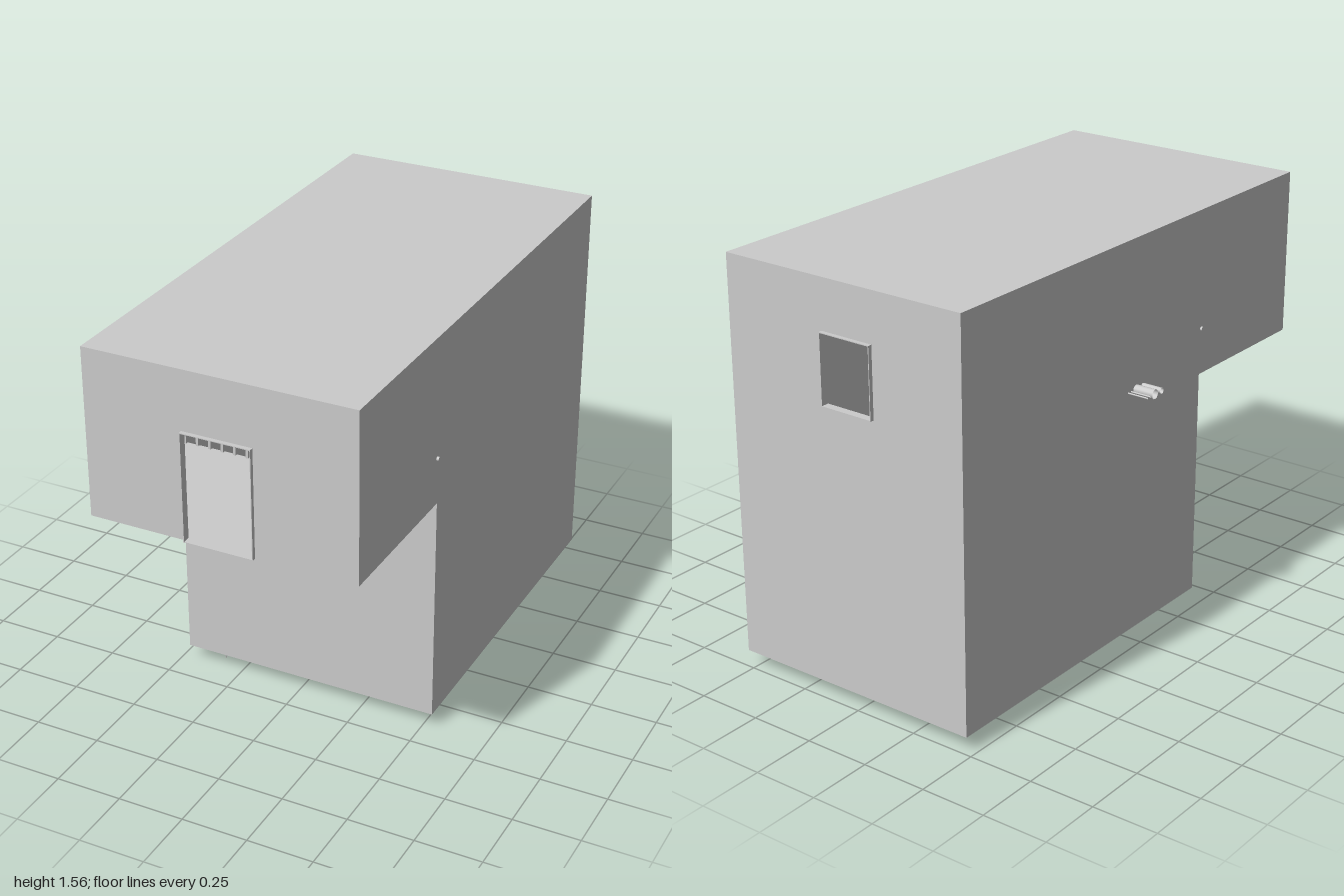
import * as THREE from 'three';

const X0 = -0.47, X1 = 0.535, Y0 = 0.055, YF = 0.93, Y1 = 1.56;
const ZB = -0.985, ZP = 0.39, ZF = 0.985;

export function createModel() {
  const root = new THREE.Group();
  const solid = new THREE.MeshStandardMaterial({ color: 0xcccccc });
  const sheet = new THREE.MeshStandardMaterial({ color: 0xcccccc, side: THREE.DoubleSide });

  const add = (name, geo, x = 0, y = 0, z = 0, parent = root, mat = solid) => {
    const m = new THREE.Mesh(geo, mat);
    m.name = name;
    m.position.set(x, y, z);
    parent.add(m);
    return m;
  };
  const outline = pts => pts.map(p => new THREE.Vector2(...p));
  const rect = (x0, y0, x1, y1) => outline([[x0, y0], [x1, y0], [x1, y1], [x0, y1]]);
  // straight round bar between two points
  const bar = (name, a, b, r, parent = root, sides = 12) => {
    const A = new THREE.Vector3(...a), B = new THREE.Vector3(...b), d = B.clone().sub(A);
    const m = add(name, new THREE.CylinderGeometry(r, r, d.length(), sides), 0, 0, 0, parent);
    m.position.copy(A).add(B).multiplyScalar(0.5);
    m.quaternion.setFromUnitVectors(new THREE.Vector3(0, 1, 0), d.normalize());
    return m;
  };

  // Room shell: thin sheets, an L in profile
  const room = new THREE.Group();
  room.name = 'room';
  root.add(room);
  const wall = (name, pts, z, hole) => {
    const s = new THREE.Shape(pts);
    if (hole) s.holes.push(new THREE.Path(hole));
    return add(name, new THREE.ShapeGeometry(s), 0, 0, z, room, sheet);
  };
  const door = [-0.1, YF, 0.155, 1.335], win = [-0.097, 1.11, 0.112, 1.37];
  wall('upperFrontWall', outline([[X0, YF], [door[0], YF], [door[0], door[3]], [door[2], door[3]],
    [door[2], YF], [X1, YF], [X1, Y1], [X0, Y1]]), ZF);
  wall('lowerFrontWall', rect(X0, Y0, X1, YF), ZP);
  wall('backWall', rect(X0, Y0, X1, Y1), ZB, rect(...win));
  const profile = outline([[ZB, Y0], [ZP, Y0], [ZP, YF], [ZF, YF], [ZF, Y1], [ZB, Y1]]);
  for (const [name, x] of [['rightWall', X0], ['leftWall', X1]]) {
    const m = wall(name, profile, 0);
    m.position.x = x;
    m.rotation.y = -Math.PI / 2;
  }
  const slab = (name, y, z0, z1) => {
    const g = new THREE.PlaneGeometry(X1 - X0, z1 - z0).rotateX(-Math.PI / 2);
    add(name, g, (X0 + X1) / 2, y, (z0 + z1) / 2, room, sheet);
  };
  slab('roof', Y1, ZB, ZF);
  slab('pitFloor', Y0, ZB, ZP);
  slab('platformFloor', YF, ZP, ZF);

  // Thin sleeves standing proud around the doorway and the window
  const sleeve = (name, [x0, y0, x1, y1], z) => {
    const t = 0.003;
    const s = new THREE.Shape(rect(x0 - t, y0, x1 + t, y1 + t));
    s.holes.push(new THREE.Path(rect(x0, y0 + t, x1, y1)));
    add(name, new THREE.ExtrudeGeometry(s, { depth: 0.03, bevelEnabled: false }), 0, 0, z - 0.015);
  };
  sleeve('doorFrame', door, ZF);
  sleeve('windowFrame', win, ZB);

  // Railing along the platform edge
  const railing = new THREE.Group();
  railing.name = 'railing';
  root.add(railing);
  bar('handrail', [X0 - 0.008, 1.106, 0.396], [X1 + 0.009, 1.106, 0.396], 0.008, railing);
  for (let i = 0; i < 20; i++) {
    add('railPost', new THREE.BoxGeometry(0.01, 0.196, 0.009), -0.45 + i * 0.0506, 1.008, 0.396, railing);
  }

  // Standing vessel in the pit
  const vessel = new THREE.Group();
  vessel.name = 'vessel';
  vessel.position.set(0.015, 0, 0);
  root.add(vessel);
  const turned = (name, pts) => {
    const g = new THREE.LatheGeometry(outline(pts), 32).toNonIndexed();
    g.computeVertexNormals();
    add(name, g, 0, 0, 0, vessel, sheet);
  };
  turned('vesselBody', [[0, Y0], [0.095, Y0], [0.095, 0.93], [0.09, 0.96], [0.055, 1.1], [0.055, 1.28]]);
  turned('baseFlange', [[0.08, 0.93], [0.105, 0.93], [0.105, 0.965], [0.08, 0.965]]);
  turned('collar', [[0.05, 1.19], [0.061, 1.19], [0.061, 1.22], [0.05, 1.22]]);
  turned('lid', [[0, 1.277], [0.06, 1.277], [0.06, 1.298], [0.056, 1.307], [0, 1.307]]);
  for (let i = 0; i < 8; i++) {
    const a = (i + 0.5) * Math.PI / 4;
    add('lidBolt', new THREE.CylinderGeometry(0.005, 0.005, 0.01, 6),
      0.047 * Math.cos(a), 1.31, 0.047 * Math.sin(a), vessel);
    bar('skirtRib', [0.058 * Math.cos(a), 1.1, 0.058 * Math.sin(a)],
      [0.092 * Math.cos(a), 0.965, 0.092 * Math.sin(a)], 0.004, vessel, 6);
  }
  // Side nozzle, bent pipe and slanting brace
  const tube = (name, pts, r, parent) => {
    const path = new THREE.CurvePath();
    const v = pts.map(p => new THREE.Vector3(...p));
    let from = v[0];
    for (let i = 1; i < v.length - 1; i++) {
      const a = v[i].clone().add(v[i - 1].clone().sub(v[i]).setLength(0.03));
      const b = v[i].clone().add(v[i + 1].clone().sub(v[i]).setLength(0.03));
      path.add(new THREE.LineCurve3(from, a));
      path.add(new THREE.QuadraticBezierCurve3(a, v[i], b));
      from = b;
    }
    path.add(new THREE.LineCurve3(from, v[v.length - 1]));
    add(name, new THREE.TubeGeometry(path, 100, r, 12), 0, 0, 0, parent, sheet);
  };
  bar('nozzle', [0.045, 1.25, 0], [0.075, 1.25, 0], 0.015, vessel);
  tube('outletPipe', [[0.06, 1.25, 0], [0.12, 1.25, 0], [0.2, 1.16, 0], [0.2, Y0, 0]], 0.009, vessel);
  bar('brace', [-0.005, 1.25, 0.055], [0.16, 1.03, 0.055], 0.006, vessel);

  // Service pipes rising from under the floor and leaving through the side wall
  for (const [z, r] of [[-0.016, 0.018], [0.026, 0.011], [-0.046, 0.003], [-0.064, 0.003]]) {
    tube('servicePipe', [[-0.278, 0, z], [-0.278, 1, z], [-0.55, 1, z]], r, root);
  }

  // Small fittings under the floor
  add('drain', new THREE.CylinderGeometry(0.007, 0.002, 0.026, 8), -0.325, 0.043, 0.37);
  add('drainBracket', new THREE.BoxGeometry(0.018, 0.012, 0.012), -0.335, 0.05, 0.37);
  add('floorPlate', new THREE.BoxGeometry(0.022, 0.008, 0.022), -0.222, 0.053, 0);

  return root;
}
